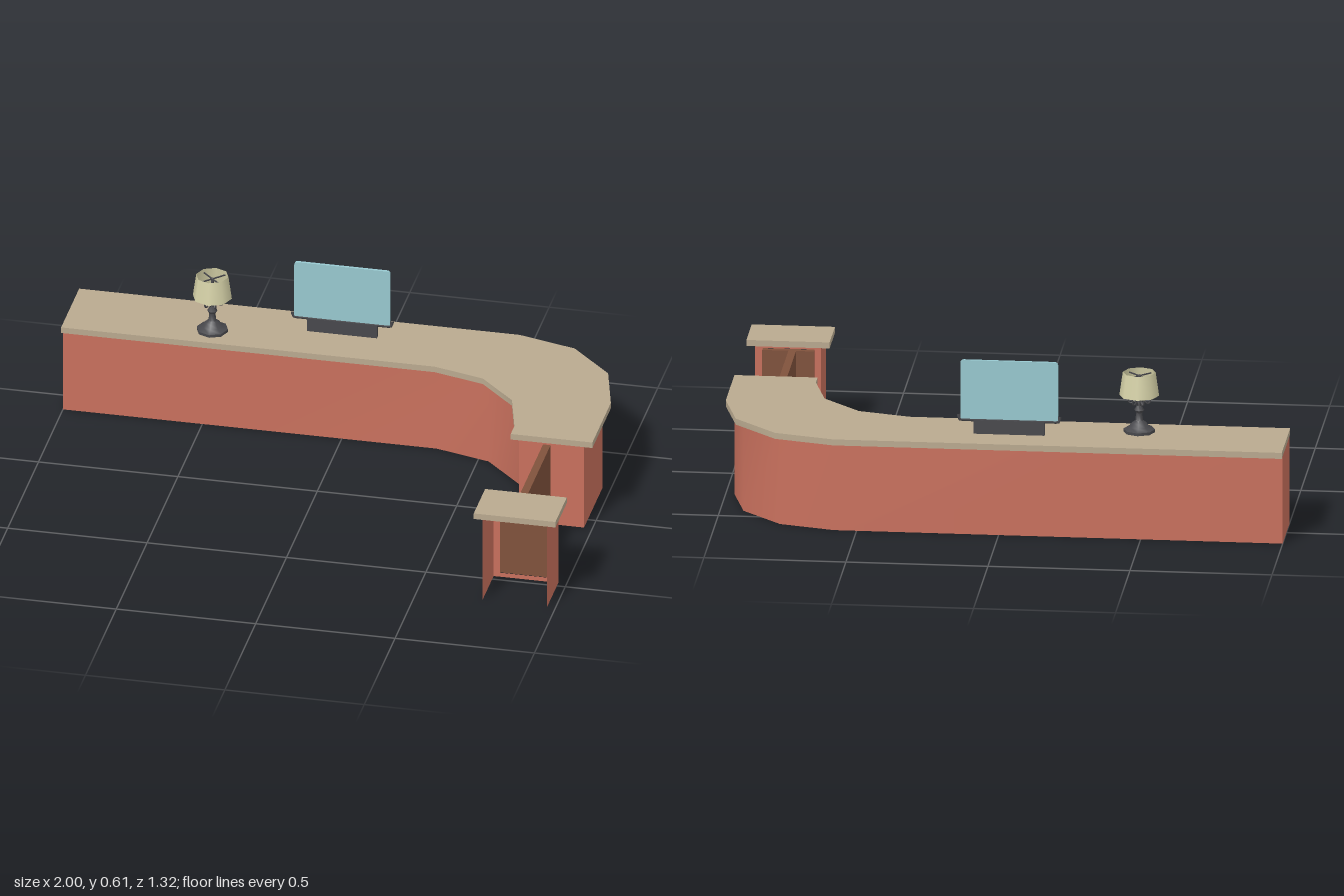
import * as THREE from 'three';
import { toCreasedNormals } from 'three/addons/utils/BufferGeometryUtils.js';

const mat = (name, color, side = THREE.FrontSide) => {
  const m = new THREE.MeshStandardMaterial({ color, side });
  m.name = name;
  return m;
};

export function createModel() {
  const red = mat('terracotta panel', 0xc8705d, THREE.DoubleSide);
  const tan = mat('tan worktop', 0xb9a98f);
  const brown = mat('brown wood', 0x80523c);
  const teal = mat('pale teal screen', 0x98c9d0);
  const cream = mat('cream shade', 0xd6d2a8, THREE.DoubleSide);
  const dark = mat('dark metal', 0x48484c);

  const model = new THREE.Group();
  model.name = 'receptionDesk';
  const add = (parent, name, geo, material, x = 0, y = 0, z = 0) => {
    const m = new THREE.Mesh(geo, material);
    m.name = name;
    m.position.set(x, y, z);
    parent.add(m);
    return m;
  };
  // Box given by its limits on each axis
  const box = (parent, name, material, x0, x1, y0, y1, z0, z1) =>
    add(parent, name, new THREE.BoxGeometry(x1 - x0, y1 - y0, z1 - z0), material,
      (x0 + x1) / 2, (y0 + y1) / 2, (z0 + z1) / 2);

  // Curved corner desk outline; the inset pulls both long sides inward
  const outline = (inset) => {
    const pts = [[-1, -0.66 + inset]];
    const arc = (cx, cz, r, from, to) => {
      for (let i = 0; i <= 3; i++) {
        const a = from + (to - from) * i / 3;
        pts.push([cx + r * Math.sin(a), cz - r * Math.cos(a)]);
      }
    };
    arc(0.58, -0.24, 0.42 - inset, 0, Math.PI / 2);
    pts.push([1 - inset, 0.06], [0.707 + inset, 0.06]);
    arc(0.34, 0, 0.367 + inset, Math.PI / 2, 0);
    pts.push([-1, -0.367 - inset]);
    return pts;
  };

  // Upright walls following a closed outline, open above and below
  const walls = (pts, y0, y1) => {
    const pos = [];
    pts.forEach(([ax, az], i) => {
      const [bx, bz] = pts[(i + 1) % pts.length];
      pos.push(ax, y0, az, ax, y1, az, bx, y1, bz, ax, y0, az, bx, y1, bz, bx, y0, bz);
    });
    const g = new THREE.BufferGeometry();
    g.setAttribute('position', new THREE.Float32BufferAttribute(pos, 3));
    return toCreasedNormals(g, 0.6);
  };

  // Main counter
  const topShape = new THREE.Shape(outline(0).map(([x, z]) => new THREE.Vector2(x, -z)));
  const topGeo = new THREE.ExtrudeGeometry(topShape, { depth: 0.022, bevelEnabled: false });
  topGeo.rotateX(-Math.PI / 2);
  add(model, 'counterTop', toCreasedNormals(topGeo, 0.6), tan, 0, 0.32, 0);
  // Reverse the outline so wall faces point outward
  add(model, 'counterBody', walls(outline(0.03).reverse(), 0, 0.32), red);

  // End pedestal, open at the front
  const pedestal = new THREE.Group();
  pedestal.name = 'endPedestal';
  model.add(pedestal);
  box(pedestal, 'pedestalTop', tan, 0.707, 1, 0.32, 0.342, 0.475, 0.66);
  for (const x of [0.738, 0.97]) {
    const side = add(pedestal, 'pedestalSide', new THREE.PlaneGeometry(0.183, 0.32), red, x, 0.16, 0.5685);
    side.rotation.y = x > 0.8 ? Math.PI / 2 : -Math.PI / 2;
  }
  const frame = new THREE.Shape([[0.738, 0], [0.97, 0], [0.97, 0.32], [0.738, 0.32]].map(p => new THREE.Vector2(...p)));
  frame.holes.push(new THREE.Path([[0.76, 0.016], [0.76, 0.314], [0.942, 0.314], [0.942, 0.016]].map(p => new THREE.Vector2(...p))));
  add(pedestal, 'pedestalBackFrame', new THREE.ShapeGeometry(frame), red, 0, 0, 0.477);

  // Gate between counter and pedestal
  box(model, 'gatePanel', brown, 0.823, 0.85, 0.016, 0.314, 0.06, 0.455);
  box(model, 'gateEndPlate', brown, 0.76, 0.942, 0.016, 0.314, 0.453, 0.475);

  // Monitor
  const monitor = new THREE.Group();
  monitor.name = 'monitor';
  monitor.position.set(-0.028, 0.342, -0.535);
  model.add(monitor);
  const w = 0.172, h = 0.218, r = 0.012;
  const screen = new THREE.Shape();
  screen.moveTo(-w, 0);
  screen.lineTo(w, 0);
  screen.lineTo(w, h - r);
  screen.quadraticCurveTo(w, h, w - r, h);
  screen.lineTo(-w + r, h);
  screen.quadraticCurveTo(-w, h, -w, h - r);
  add(monitor, 'screen', new THREE.ExtrudeGeometry(screen, { depth: 0.01, bevelEnabled: false, curveSegments: 3 }),
    teal, 0, 0.05, -0.005);
  box(monitor, 'monitorStand', dark, -0.125, 0.125, 0, 0.05, -0.008, 0.008);
  const rail = new THREE.CatmullRomCurve3([[-0.178, 0.07], [-0.176, 0.054], [-0.165, 0.05], [0.165, 0.05],
    [0.176, 0.054], [0.178, 0.07]].map(([x, y]) => new THREE.Vector3(x, y, 0)), false, 'catmullrom', 0.1);
  add(monitor, 'screenRail', new THREE.TubeGeometry(rail, 40, 0.007, 6), dark);

  // Table lamp
  const lamp = new THREE.Group();
  lamp.name = 'tableLamp';
  lamp.position.set(-0.478, 0.342, -0.46);
  model.add(lamp);
  const lathe = (pts) => new THREE.LatheGeometry(pts.map(p => new THREE.Vector2(...p)), 8);
  add(lamp, 'lampBase', toCreasedNormals(lathe([[0, 0], [0.056, 0], [0.056, 0.01], [0.036, 0.02], [0.026, 0.034],
    [0.014, 0.042], [0.011, 0.07], [0.018, 0.08], [0.01, 0.094], [0.008, 0.12], [0.005, 0.205], [0, 0.212]]), 0.9), dark);
  add(lamp, 'lampShade', lathe([[0.07, 0.134], [0.058, 0.218]]), cream);
  // Curled arms with small cups
  const arm = new THREE.CatmullRomCurve3([[0.007, 0.098], [0.018, 0.112], [0.03, 0.104], [0.038, 0.11], [0.039, 0.128]]
    .map(([x, y]) => new THREE.Vector3(x, y, 0)));
  for (let i = 0; i < 6; i++) {
    const g = new THREE.Group();
    g.name = 'lampArm';
    g.rotation.y = i * Math.PI / 3;
    lamp.add(g);
    add(g, 'armCurl', new THREE.TubeGeometry(arm, 10, 0.003, 5), dark);
    add(g, 'armCup', new THREE.CylinderGeometry(0.006, 0.004, 0.012, 6), dark, 0.039, 0.13, 0);
  }
  // Cross wires holding the shade
  for (let i = 0; i < 2; i++) {
    const wire = add(lamp, 'shadeWire', new THREE.BoxGeometry(0.108, 0.004, 0.004), dark, 0, 0.205, 0);
    wire.rotation.y = Math.PI / 4 + i * Math.PI / 2;
  }
  return model;
}
